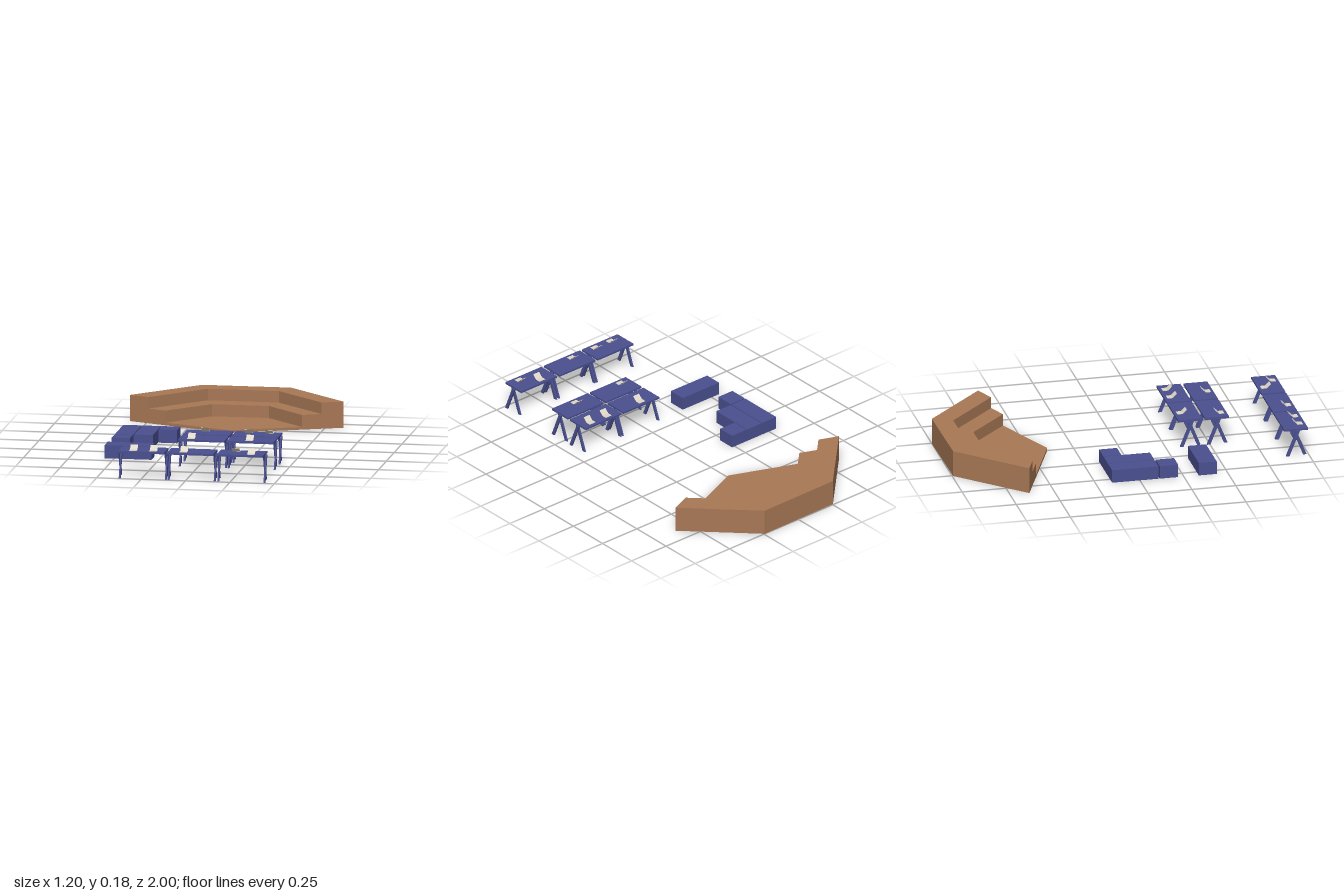
import * as THREE from 'three';

const brown = new THREE.MeshStandardMaterial({ color: 0xa87855 });
const blue = new THREE.MeshStandardMaterial({ color: 0x4a5090 });
const cream = new THREE.MeshStandardMaterial({ color: 0xe0d8c8 });

// Box given by its limits on each axis
function box(name, mat, [x0, x1], [y0, y1], [z0, z1]) {
  const mesh = new THREE.Mesh(new THREE.BoxGeometry(x1 - x0, y1 - y0, z1 - z0), mat);
  mesh.position.set((x0 + x1) / 2, (y0 + y1) / 2, (z0 + z1) / 2);
  mesh.name = name;
  return mesh;
}

// Upright slab from a plan outline of [x, z] points
function slab(name, outline, height) {
  const shape = new THREE.Shape(outline.map(([x, z]) => new THREE.Vector2(x, -z)));
  const geo = new THREE.ExtrudeGeometry(shape, { depth: height, bevelEnabled: false });
  geo.rotateX(-Math.PI / 2);
  const mesh = new THREE.Mesh(geo, brown);
  mesh.name = name;
  return mesh;
}

// Bar of square section between two heights, leaning along z
function leg(x, zFoot, zTop, height) {
  const w = 0.009, t = 0.01;
  const shape = new THREE.Shape([
    new THREE.Vector2(zFoot - t, 0), new THREE.Vector2(zFoot + t, 0),
    new THREE.Vector2(zTop + t, height), new THREE.Vector2(zTop - t, height),
  ]);
  const geo = new THREE.ExtrudeGeometry(shape, { depth: w, bevelEnabled: false });
  geo.rotateY(-Math.PI / 2); // shape x runs along z, depth along -x
  const mesh = new THREE.Mesh(geo, blue);
  mesh.position.x = x + w / 2;
  mesh.name = 'tableLeg';
  return mesh;
}

// Trestle table: the second end is the first turned half round
function table(x, z) {
  const g = new THREE.Group();
  g.name = 'table';
  g.add(box('tableTop', blue, [-0.13, 0.13], [0.145, 0.156], [-0.068, 0.068]));
  for (const turn of [0, Math.PI]) {
    const trestle = new THREE.Group();
    trestle.name = 'trestle';
    trestle.add(leg(0.135, 0.05, -0.01, 0.148), leg(0.125, -0.05, 0.01, 0.148));
    trestle.rotation.y = turn;
    g.add(trestle);
  }
  g.position.set(x, 0, z);
  return g;
}

// Open laptop with its screen leaning back to the middle of the table
function laptop(x, z, facing) {
  const g = new THREE.Group();
  g.name = 'laptop';
  g.add(box('laptopBase', cream, [-0.021, 0.021], [0.156, 0.158], [0.022, 0.052]));
  const screen = box('laptopScreen', cream, [-0.021, 0.021], [0, 0.034], [-0.001, 0.001]);
  screen.position.set(0, 0.169, 0.011);
  screen.rotation.x = -0.79;
  g.add(screen);
  g.rotation.y = facing > 0 ? 0 : Math.PI;
  g.position.set(x, 0, z);
  return g;
}

export function createModel() {
  const model = new THREE.Group();
  model.name = 'studyArea';

  // Stepped seating: three bands between four-point curves
  const outer = [[-0.6, -0.64], [-0.255, -0.995], [0.245, -1], [0.6, -0.655]];
  const middle = [[-0.488, -0.596], [-0.205, -0.888], [0.195, -0.89], [0.486, -0.607]];
  const inner = [[-0.385, -0.554], [-0.163, -0.78], [0.157, -0.784], [0.383, -0.563]];
  const seating = new THREE.Group();
  seating.name = 'steppedSeating';
  seating.add(
    slab('seatingFloor', [...inner, [0, -0.4]], 0.015),
    slab('lowerStep', [...middle, ...[...inner].reverse()], 0.083),
    slab('upperStep', [...outer, ...[...middle].reverse()], 0.148),
  );
  model.add(seating);

  // Low padded blocks
  const blocks = [
    [[-0.552, -0.45], [-0.158, 0.106]],
    [[-0.445, -0.34], [-0.158, 0.106]],
    [[-0.336, -0.231], [-0.158, -0.056]],
    [[-0.552, -0.45], [0.113, 0.218]],
    [[-0.554, -0.29], [0.335, 0.437]],
  ];
  for (const [xs, zs] of blocks) model.add(box('softSeat', blue, xs, [0, 0.074], zs));

  // Rows of tables; each laptop is [x, facing]
  const rows = [
    { z: 0.389, xs: [0.022, 0.297], laptops: [[0.002, -1], [0.246, -1], [0.362, -1]] },
    { z: 0.542, xs: [0.022, 0.297], laptops: [[-0.042, 1], [0.286, 1]] },
    { z: 0.93, xs: [-0.248, 0.027, 0.307],
      laptops: [[-0.299, 1], [-0.187, 1], [-0.016, 1], [0.27, -1], [0.363, 1]] },
  ];
  for (const { z, xs, laptops } of rows) {
    for (const x of xs) model.add(table(x, z));
    for (const [x, facing] of laptops) model.add(laptop(x, z, facing));
  }
  return model;
}
